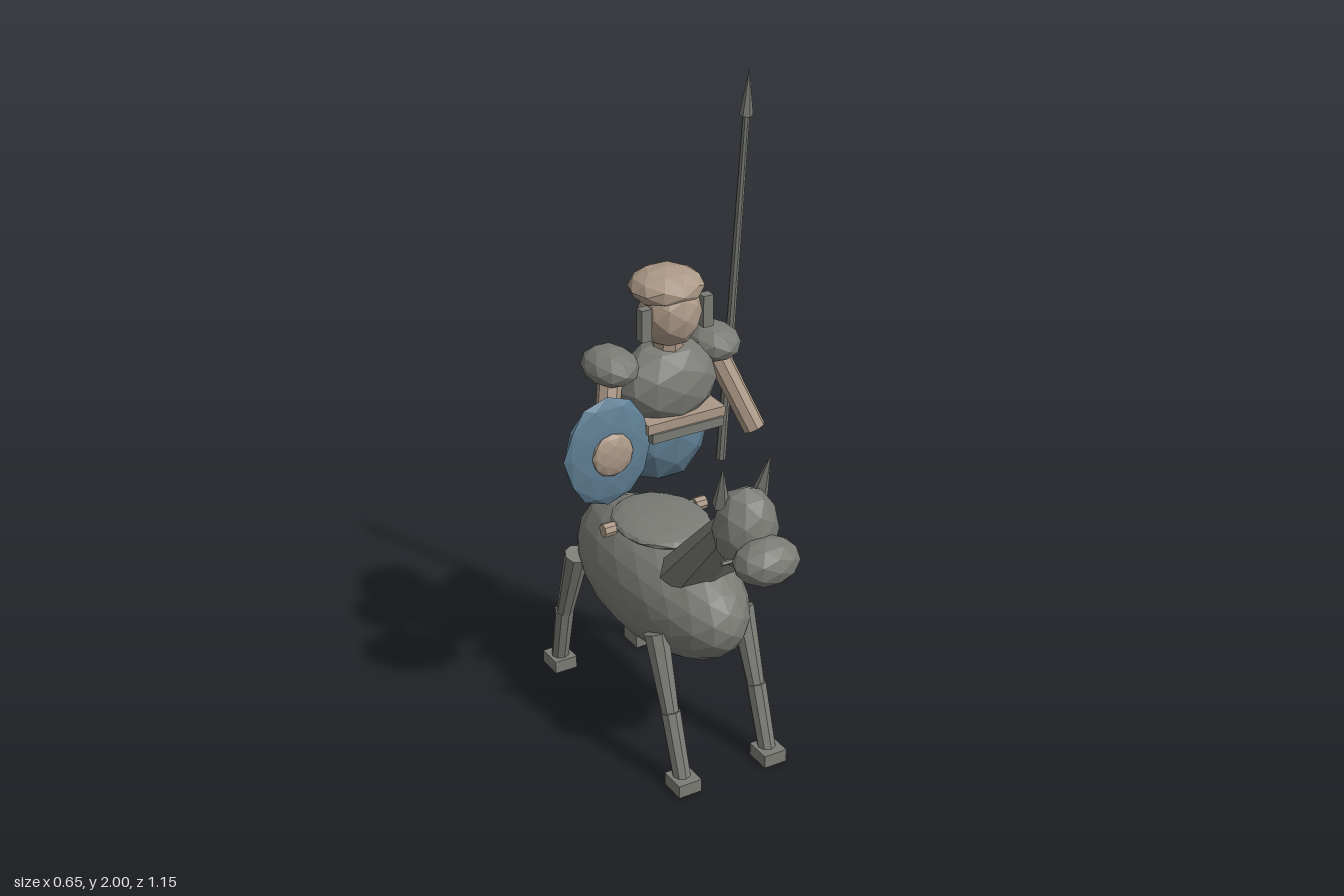
import * as THREE from 'three';

const flat = (name, color) => {
  const m = new THREE.MeshStandardMaterial({ color });
  m.name = name;
  m.flatShading = true;
  return m;
};

export function createModel() {
  const grey = flat('grey', 0x7b7b76);
  const tan = flat('tan', 0xab9886);
  const blue = flat('blue', 0x608095);
  const CX = 0.045; // symmetry plane of horse and rider
  const root = new THREE.Group();
  const horse = new THREE.Group();
  const rider = new THREE.Group();
  horse.name = 'horse';
  rider.name = 'rider';
  root.add(horse, rider);

  const add = (parent, name, geo, mat, pos) => {
    const m = new THREE.Mesh(geo, mat);
    m.name = name;
    m.position.set(...pos);
    parent.add(m);
    return m;
  };
  // faceted ellipsoid
  const blob = (parent, name, mat, pos, radii, detail = 1) =>
    add(parent, name, new THREE.IcosahedronGeometry(1, detail).scale(...radii), mat, pos);
  const box = (parent, name, mat, pos, size) => add(parent, name, new THREE.BoxGeometry(...size), mat, pos);
  // tapered rod between two points
  const rod = (parent, name, mat, a, b, ra, rb, sides = 8, widen = 1) => {
    const p = new THREE.Vector3(...a), q = new THREE.Vector3(...b);
    const geo = new THREE.CylinderGeometry(rb, ra, p.distanceTo(q), sides).scale(widen, 1, 1);
    const m = add(parent, name, geo, mat, p.clone().add(q).multiplyScalar(0.5).toArray());
    m.quaternion.setFromUnitVectors(new THREE.Vector3(0, 1, 0), q.sub(p).normalize());
    return m;
  };

  // Horse trunk, neck, head and tail
  blob(horse, 'body', grey, [CX, 0.48, -0.06], [0.184, 0.195, 0.395], 3);
  rod(horse, 'neck', grey, [CX, 0.61, 0.145], [CX, 0.855, 0.35], 0.074, 0.047, 8, 1.7);
  blob(horse, 'horseHead', grey, [CX, 0.858, 0.39], [0.093, 0.124, 0.09]);
  blob(horse, 'muzzle', grey, [CX, 0.808, 0.496], [0.098, 0.068, 0.079]);
  rod(horse, 'bit', grey, [CX - 0.097, 0.79, 0.425], [CX + 0.097, 0.79, 0.425], 0.007, 0.007, 6);
  rod(horse, 'tail', grey, [CX, 0.51, -0.415], [CX, 0.2, -0.565], 0.05, 0.009, 6);

  // Saddle with side bars
  blob(horse, 'saddle', grey, [CX, 0.66, -0.06], [0.14, 0.03, 0.17], 2);
  rod(horse, 'saddleBar', grey, [CX - 0.14, 0.655, -0.1], [CX + 0.14, 0.655, -0.1], 0.016, 0.016, 6);

  for (const s of [-1, 1]) {
    const x = CX + s * 0.145;
    rod(horse, 'saddleBarEnd', tan, [CX + s * 0.135, 0.655, -0.1], [CX + s * 0.172, 0.655, -0.1], 0.021, 0.021, 8);
    rod(horse, 'horseEar', grey, [CX + s * 0.062, 0.93, 0.36], [CX + s * 0.075, 1.055, 0.39], 0.025, 0.002, 5);
    // Front and hind legs: [hip z, hip y, knee z, hoof z]
    for (const [hz, hy, kz, fz] of [[0.155, 0.44, 0.24, 0.305], [-0.315, 0.46, -0.4, -0.437]]) {
      rod(horse, 'upperLeg', grey, [CX + s * 0.143, hy, hz], [x, 0.21, kz], 0.038, 0.026, 8);
      rod(horse, 'lowerLeg', grey, [x, 0.22, kz], [x, 0.03, fz], 0.03, 0.027, 8);
      box(horse, 'hoof', grey, [x, 0.02, fz < 0 ? fz : 0.312], [0.074, 0.04, 0.082]);
    }
  }

  // Rider torso
  blob(rider, 'tunic', blue, [CX, 0.98, -0.055], [0.14, 0.178, 0.098], 1);
  blob(rider, 'breastplate', grey, [CX, 1.125, -0.033], [0.155, 0.13, 0.106], 1);
  box(rider, 'waistband', tan, [CX + 0.01, 1.037, 0.02], [0.25, 0.03, 0.09]);
  box(rider, 'belt', grey, [CX + 0.01, 1.01, 0.042], [0.23, 0.028, 0.06]);

  // Head and cap
  rod(rider, 'riderNeck', tan, [CX, 1.2, -0.03], [CX, 1.3, -0.025], 0.045, 0.045, 8);
  blob(rider, 'head', tan, [CX, 1.347, -0.015], [0.089, 0.105, 0.092]);
  blob(rider, 'cap', tan, [CX, 1.415, -0.035], [0.108, 0.055, 0.104]);

  for (const s of [-1, 1]) {
    box(rider, 'cheekGuard', grey, [CX + s * 0.098, 1.338, 0.015], [0.032, 0.095, 0.03]);
    blob(rider, 'shoulderGuard', grey, [CX + s * 0.165, 1.2, -0.06], [0.077, 0.054, 0.098]);
  }
  rod(rider, 'leftArm', tan, [0.215, 1.17, -0.05], [0.292, 0.945, 0.045], 0.035, 0.033, 8);
  rod(rider, 'rightArm', tan, [-0.125, 1.17, -0.05], [-0.19, 0.945, 0.025], 0.035, 0.033, 8);

  // Shield and boss
  blob(rider, 'shield', blue, [-0.187, 0.995, 0.042], [0.138, 0.167, 0.025]);
  blob(rider, 'shieldBoss', tan, [-0.185, 0.995, 0.068], [0.065, 0.066, 0.02]);

  // Spear
  rod(rider, 'spearShaft', grey, [0.282, 0.775, -0.118], [0.281, 1.88, -0.011], 0.015, 0.01, 8);
  rod(rider, 'spearHead', grey, [0.281, 1.87, -0.012], [0.281, 2, 0], 0.019, 0.001, 6);

  return root;
}
